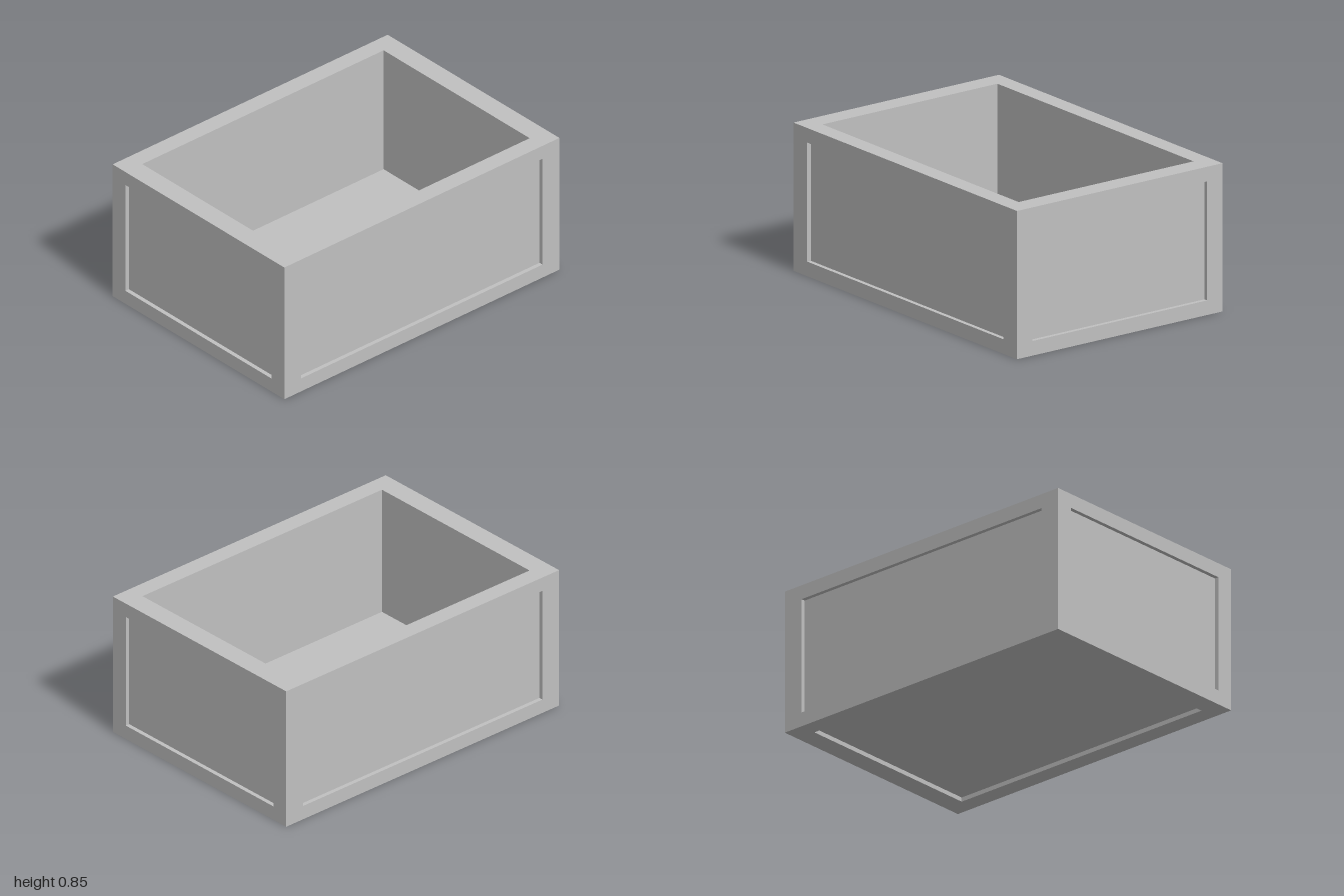
import * as THREE from 'three';
import { mergeGeometries } from 'three/addons/utils/BufferGeometryUtils.js';

const W = 1.41, H = 0.847, D = 2;          // outer size
const IW = 1.2, IH = 0.68, ID = 1.755;     // recess size along x, y, z
const INSET = 0.025, CAVITY = 0.764;       // panel and cavity depths

// A flat border facing +z with a rectangular pocket sunk into it
function recessedFace(w, h, iw, ih, depth) {
  const border = new THREE.Shape([
    new THREE.Vector2(-w / 2, -h / 2), new THREE.Vector2(w / 2, -h / 2),
    new THREE.Vector2(w / 2, h / 2), new THREE.Vector2(-w / 2, h / 2),
  ]);
  border.holes.push(new THREE.Path([
    new THREE.Vector2(-iw / 2, -ih / 2), new THREE.Vector2(-iw / 2, ih / 2),
    new THREE.Vector2(iw / 2, ih / 2), new THREE.Vector2(iw / 2, -ih / 2),
  ]));
  const parts = [
    new THREE.ShapeGeometry(border),
    new THREE.PlaneGeometry(iw, ih).translate(0, 0, -depth),
  ];
  // Pocket sides, facing inwards
  for (const s of [-1, 1]) {
    parts.push(new THREE.PlaneGeometry(depth, ih)
      .rotateY(-s * Math.PI / 2).translate(s * iw / 2, 0, -depth / 2));
    parts.push(new THREE.PlaneGeometry(iw, depth)
      .rotateX(s * Math.PI / 2).translate(0, s * ih / 2, -depth / 2));
  }
  return mergeGeometries(parts);
}

export function createModel() {
  const model = new THREE.Group();
  model.name = 'openBox';
  const grey = new THREE.MeshStandardMaterial({ color: 0xc0c0c0 });
  grey.name = 'lightGrey';

  function addFace(name, geometry, x, y, z, rx = 0, ry = 0) {
    const mesh = new THREE.Mesh(geometry, grey);
    mesh.name = name;
    mesh.position.set(x, y, z);
    mesh.rotation.set(rx, ry, 0);
    model.add(mesh);
  }

  // Four walls with shallow inset panels
  const endWall = recessedFace(W, H, IW, IH, INSET);
  const sideWall = recessedFace(D, H, ID, IH, INSET);
  addFace('frontWall', endWall, 0, H / 2, D / 2);
  addFace('backWall', endWall, 0, H / 2, -D / 2, 0, Math.PI);
  addFace('leftWall', sideWall, W / 2, H / 2, 0, 0, Math.PI / 2);
  addFace('rightWall', sideWall, -W / 2, H / 2, 0, 0, -Math.PI / 2);

  // Underside panel, and the rim with the deep open cavity
  addFace('underside', recessedFace(W, D, IW, ID, INSET), 0, 0, 0, Math.PI / 2);
  addFace('rimAndCavity', recessedFace(W, D, IW, ID, CAVITY), 0, H, 0, -Math.PI / 2);

  return model;
}
